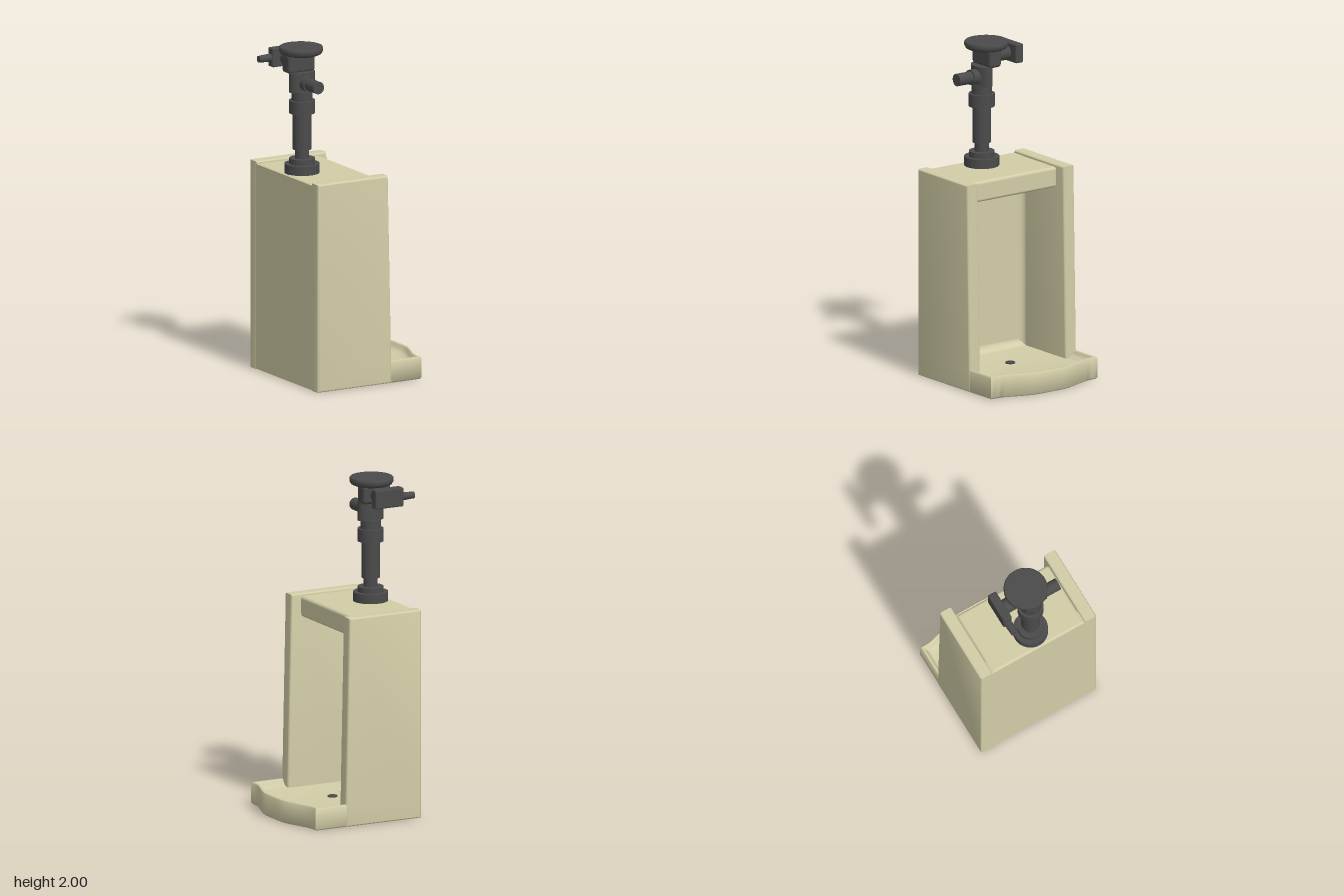
import * as THREE from 'three';
import { toCreasedNormals } from 'three/addons/utils/BufferGeometryUtils.js';
import { RoundedBoxGeometry } from 'three/addons/geometries/RoundedBoxGeometry.js';

const porcelain = new THREE.MeshStandardMaterial({ color: 0xd2cda7 });
porcelain.name = 'cream porcelain';
const metal = new THREE.MeshStandardMaterial({ color: 0x4b4b4b });
metal.name = 'dark metal';

function add(parent, name, geometry, material, x = 0, y = 0, z = 0) {
  const mesh = new THREE.Mesh(geometry, material);
  mesh.name = name;
  mesh.position.set(x, y, z);
  parent.add(mesh);
  return mesh;
}

// Box given by its limits, with rounded edges
function block(parent, name, material, [x0, x1], [y0, y1], [z0, z1], r) {
  const geo = new RoundedBoxGeometry(x1 - x0, y1 - y0, z1 - z0, 3, r);
  return add(parent, name, geo, material, (x0 + x1) / 2, (y0 + y1) / 2, (z0 + z1) / 2);
}

// Dish contour, pulled inwards by a given inset
function dishContour(inset) {
  const half = 0.393 - inset, points = [];
  for (let i = 0; i <= 32; i++) {
    const z = -half + (2 * half * i) / 32;
    const bow = THREE.MathUtils.smoothstep(0.36 - Math.abs(z), 0, 0.28);
    points.push([0.345 + 0.073 * bow - inset, z]);
  }
  points.push([-0.355 + inset, half], [-0.355 + inset, -half]);
  return points;
}

// Floor dish: rings from the underside, over the rim and down to the floor
function dishGeometry() {
  const rings = [[0.01, 0], [0, 0.01], [0, 0.126], [0.006, 0.135], [0.015, 0.135],
    [0.021, 0.129], [0.026, 0.112], [0.042, 0.099], [0.075, 0.092]];
  const pos = [], index = [];
  let n = 0;
  for (const [inset, y] of rings) {
    const contour = dishContour(inset);
    n = contour.length;
    for (const [x, z] of contour) pos.push(x, y, z);
  }
  const bottom = rings.length * n, top = bottom + 1, last = (rings.length - 1) * n;
  pos.push(0, 0, 0, 0, 0.09, 0);
  for (let i = 0; i < n; i++) {
    const j = (i + 1) % n;
    for (let k = 0; k < last; k += n) {
      index.push(k + i, k + n + i, k + j, k + j, k + n + i, k + n + j);
    }
    index.push(bottom, i, j, top, last + j, last + i);
  }
  const geo = new THREE.BufferGeometry();
  geo.setAttribute('position', new THREE.Float32BufferAttribute(pos, 3));
  geo.setIndex(index);
  return toCreasedNormals(geo, 0.8);
}

// Side wall: leaning front edge, rounded all round
function wallGeometry() {
  const b = 0.012;
  const shape = new THREE.Shape([[-0.365 + b, b], [0.142 - b, b], [0.14 - b, 0.13], [0.117 - b, 1.255 - b],
    [-0.365 + b, 1.255 - b]].map(([x, y]) => new THREE.Vector2(x, y)));
  const geo = new THREE.ExtrudeGeometry(shape, {
    depth: 0.08 - 2 * b, bevelEnabled: true, bevelSize: b, bevelThickness: b, bevelSegments: 4,
  });
  geo.translate(0, 0, -0.04 + b);
  return toCreasedNormals(geo, 0.7);
}

// Concave corner filler, extruded along z from an inner corner at the origin
function coveGeometry(r, length) {
  const shape = new THREE.Shape();
  shape.moveTo(0, 0);
  shape.lineTo(r, 0);
  shape.absarc(r, r, r, -Math.PI / 2, -Math.PI, true);
  shape.lineTo(0, 0);
  const geo = new THREE.ExtrudeGeometry(shape, { depth: length, bevelEnabled: false, curveSegments: 8 });
  geo.translate(0, 0, -length / 2);
  return toCreasedNormals(geo, 0.6);
}

// Round part between two points along one axis
function rod(parent, name, axis, r, from, to, [x, y, z], r2 = r) {
  const geo = new THREE.CylinderGeometry(r2, r, to - from, 32);
  if (axis === 'x') geo.rotateZ(-Math.PI / 2);
  if (axis === 'z') geo.rotateX(Math.PI / 2);
  const mesh = add(parent, name, geo, metal, x, y, z);
  mesh.position[axis] = (from + to) / 2;
  return mesh;
}

export function createModel() {
  const model = new THREE.Group();
  model.name = 'floorUrinal';

  // Porcelain body
  const body = new THREE.Group();
  body.name = 'body';
  model.add(body);
  add(body, 'floorDish', dishGeometry(), porcelain);
  const wall = wallGeometry();
  for (const s of [1, -1]) {
    add(body, s > 0 ? 'leftWall' : 'rightWall', wall, porcelain, 0, 0, s * 0.355);
  }
  add(body, 'backPanel', new THREE.BoxGeometry(0.084, 1.237, 0.77), porcelain, -0.322, 0.6215, 0);
  block(body, 'topBlock', porcelain, [-0.364, 0.06], [1.12, 1.245], [-0.314, 0.314], 0.018);

  // Coves inside the recess
  const upright = coveGeometry(0.04, 1.06);
  for (const s of [1, -1]) {
    const cove = add(body, 'cornerCove', upright, porcelain, -0.281, 0.61, s * 0.316);
    cove.rotation.set(s * Math.PI / 2, 0, 0);
    cove.rotation.x = s > 0 ? -Math.PI / 2 : Math.PI / 2;
  }
  add(body, 'floorCove', coveGeometry(0.05, 0.63), porcelain, -0.281, 0.09, 0);

  // Drain
  const drain = add(body, 'drain', new THREE.CylinderGeometry(0.028, 0.028, 0.006, 24), metal, 0.015, 0.092, 0);
  const ring = new THREE.TorusGeometry(0.026, 0.004, 8, 24);
  ring.rotateX(Math.PI / 2);
  add(drain, 'drainRing', ring, metal, 0, 0.003, 0);

  // Flush valve column, stacked from the top block upwards
  const valve = new THREE.Group();
  valve.name = 'flushValve';
  model.add(valve);
  const axis = [-0.247, 0, 0.012];
  const column = [
    ['baseFlange', 0.104, 1.24, 1.3], ['flangeStep', 0.076, 1.3, 1.332], ['neck', 0.042, 1.33, 1.39],
    ['pipe', 0.055, 1.385, 1.607], ['collar', 0.077, 1.605, 1.682], ['upperCollar', 0.061, 1.68, 1.738],
  ];
  for (const [name, r, y0, y1] of column) rod(valve, name, 'y', r, y0, y1, axis);
  rod(valve, 'valveBody', 'y', 0.084, 1.735, 1.852, axis).scale.z = 0.6;
  block(valve, 'valveHead', metal, [-0.34, -0.156], [1.845, 1.96], [-0.07, 0.018], 0.02);

  // Cap with a rounded lower edge
  const cap = [[0, 1.952], [0.105, 1.952], [0.122, 1.96], [0.13, 1.975], [0.13, 1.993], [0.125, 2], [0, 2]];
  const capGeo = new THREE.LatheGeometry(cap.map(([x, y]) => new THREE.Vector2(x, y)), 40);
  add(valve, 'cap', toCreasedNormals(capGeo, 0.7), metal, -0.238, 0, -0.015);

  // Supply outlet towards +z
  rod(valve, 'outletCollar', 'z', 0.046, 0.04, 0.1, [-0.245, 1.79, 0]);
  rod(valve, 'outletPipe', 'z', 0.037, 0.09, 0.2, [-0.245, 1.79, 0]);

  // Handle assembly towards -z, with its lever along -x
  rod(valve, 'handleStem', 'z', 0.045, -0.18, -0.05, [-0.245, 1.902, 0]);
  block(valve, 'handleHousing', metal, [-0.34, -0.152], [1.85, 1.964], [-0.225, -0.169], 0.008);
  rod(valve, 'lever', 'x', 0.02, -0.42, -0.33, [0, 1.905, -0.198], 0.025);

  return model;
}
